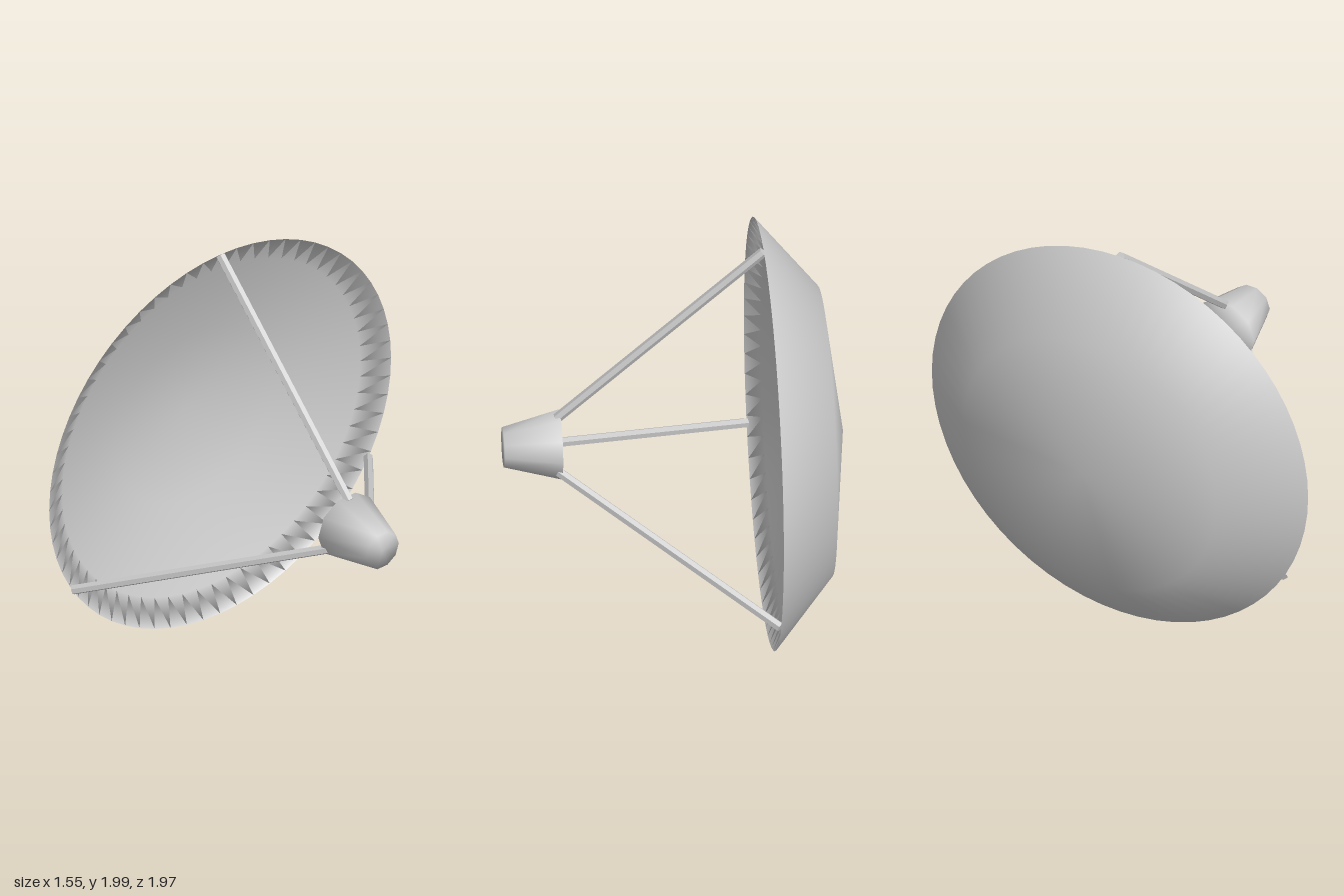
import * as THREE from 'three';
import { mergeVertices } from 'three/addons/utils/BufferGeometryUtils.js';

const material = new THREE.MeshStandardMaterial({ color: 0xcccccc });
const strutMaterial = new THREE.MeshStandardMaterial({ color: 0xcccccc, flatShading: true });
const AXIS_Y = 0.995;

// Smooth solid of revolution about the x axis; profile points are [radius, x]
function turned(name, profile, sides) {
  let geo = new THREE.LatheGeometry(profile.map(([r, x]) => new THREE.Vector2(r, x)), sides);
  geo.deleteAttribute('uv');
  geo.deleteAttribute('normal');
  geo = mergeVertices(geo, 1e-4);
  geo.rotateZ(-Math.PI / 2);
  geo.computeVertexNormals();
  const mesh = new THREE.Mesh(geo, material);
  mesh.name = name;
  return mesh;
}

// Straight hexagonal rod between two points
function rod(name, from, to, radius) {
  const dir = to.clone().sub(from);
  const mesh = new THREE.Mesh(new THREE.CylinderGeometry(radius, radius, dir.length(), 6), strutMaterial);
  mesh.position.copy(from).add(to).multiplyScalar(0.5);
  mesh.quaternion.setFromUnitVectors(new THREE.Vector3(0, 1, 0), dir.normalize());
  mesh.name = name;
  return mesh;
}

export function createModel() {
  const model = new THREE.Group();
  model.name = 'dishAntenna';
  const assembly = new THREE.Group();
  assembly.name = 'dishAssembly';
  assembly.position.y = AXIS_Y;
  model.add(assembly);

  // Reflector: outer shell from the back to the rim, then the shallow inner bowl
  assembly.add(turned('reflectorDish', [
    [0, -0.775], [0.663, -0.69], [0.987, -0.415],
    [0.86, -0.48], [0.45, -0.61], [0, -0.68],
  ], 64));

  // Tapered receiver at the focus
  assembly.add(turned('receiver', [[0, 0.513], [0.165, 0.513], [0.095, 0.773], [0, 0.773]], 10));

  // Three struts from the rim to the receiver
  for (let i = 0; i < 3; i++) {
    const a = (i * 2 * Math.PI) / 3;
    const at = (x, r) => new THREE.Vector3(x, r * Math.cos(a), r * Math.sin(a));
    assembly.add(rod('strut' + (i + 1), at(-0.412, 0.985), at(0.528, 0.142), 0.023));
  }
  return model;
}
